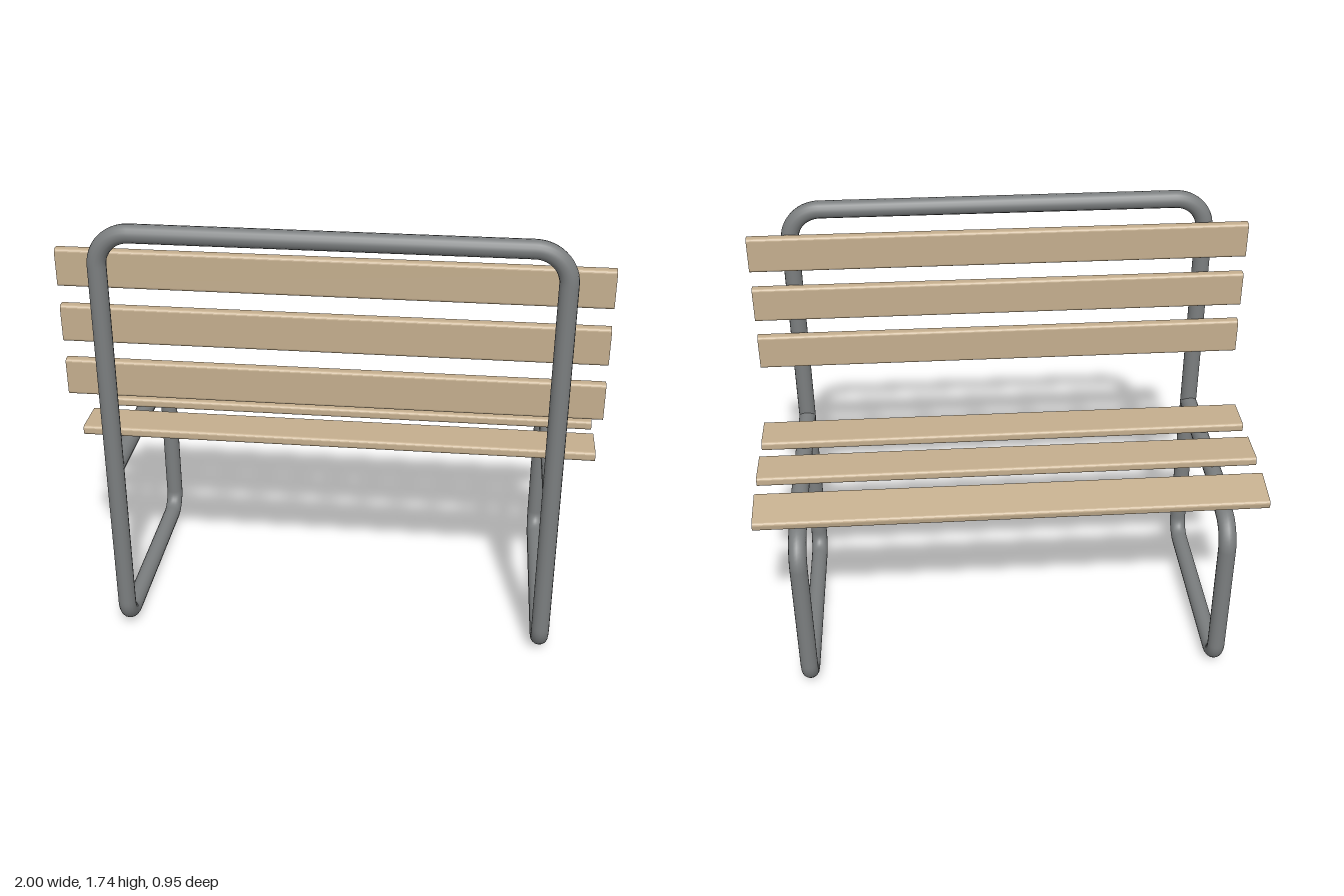
import * as THREE from 'three';

const R = 0.035; // tube radius
const V = (x, y, z) => new THREE.Vector3(x, y, z);

// Path of straight runs with rounded corners; each corner is [point, fillet length]
function filletPath(corners) {
  const path = new THREE.CurvePath();
  path.arcLengthDivisions = 1500;
  let last = corners[0][0];
  for (let i = 1; i < corners.length; i++) {
    const [p, r] = corners[i];
    if (i === corners.length - 1) {
      path.add(new THREE.LineCurve3(last, p));
      break;
    }
    const toPrev = corners[i - 1][0].clone().sub(p).normalize();
    const toNext = corners[i + 1][0].clone().sub(p).normalize();
    const a = p.clone().addScaledVector(toPrev, r);
    const b = p.clone().addScaledVector(toNext, r);
    path.add(new THREE.LineCurve3(last, a));
    path.add(new THREE.CubicBezierCurve3(a, a.clone().lerp(p, 0.55), b.clone().lerp(p, 0.55), b));
    last = b;
  }
  return path;
}

// Plank along x with rounded long edges; width runs along z, thickness along y
function slatGeometry(width, thick, r = 0.012) {
  const w = width / 2, h = thick / 2;
  const s = new THREE.Shape();
  s.moveTo(-w + r, -h);
  s.lineTo(w - r, -h);
  s.absarc(w - r, -h + r, r, -Math.PI / 2, 0);
  s.lineTo(w, h - r);
  s.absarc(w - r, h - r, r, 0, Math.PI / 2);
  s.lineTo(-w + r, h);
  s.absarc(-w + r, h - r, r, Math.PI / 2, Math.PI);
  s.lineTo(-w, -h + r);
  s.absarc(-w + r, -h + r, r, Math.PI, Math.PI * 1.5);
  const g = new THREE.ExtrudeGeometry(s, { depth: 2, bevelEnabled: false, curveSegments: 5 });
  return g.translate(0, 0, -1).rotateY(Math.PI / 2);
}

export function createModel() {
  const bench = new THREE.Group();
  bench.name = 'bench';
  const steel = new THREE.MeshStandardMaterial({ color: 0x7b7e7f });
  const wood = new THREE.MeshStandardMaterial({ color: 0xc4ae8e });

  // One bent tube: seat rail, front leg, floor runner, back post, top bar, then mirrored
  const side = (x) => [
    [V(x, 0.75, 0.44), 0],
    [V(x, 0.75, -0.18), 0.06],
    [V(x, 0.698, -0.44), 0.085],
    [V(x, R + 0.003, -0.44), 0.085],
    [V(x, R + 0.003, 0.44), 0.085],
    [V(x, 1.71, 0.44), 0.125],
  ];
  const path = filletPath([...side(0.835), ...side(-0.835).reverse()]);
  const frame = new THREE.Mesh(new THREE.TubeGeometry(path, 700, R, 16, false), steel);
  frame.name = 'tubeFrame';
  bench.add(frame);

  const addSlat = (name, geometry, y, z, tilt) => {
    const slat = new THREE.Mesh(geometry, wood);
    slat.name = name;
    slat.position.set(0, y, z);
    slat.rotation.x = tilt;
    bench.add(slat);
  };

  // Seat slats, the front one tipped along the drooping rail
  const seat = slatGeometry(0.166, 0.038);
  addSlat('seatSlatRear', seat, 0.813, 0.194, 0);
  addSlat('seatSlatMiddle', seat, 0.813, -0.057, 0);
  addSlat('seatSlatFront', seat, 0.795, -0.307, -0.2);

  // Backrest slats
  const back = slatGeometry(0.145, 0.042);
  [1.113, 1.333, 1.553].forEach((y, i) => addSlat('backSlat' + (i + 1), back, y, 0.382, Math.PI / 2));

  return bench;
}
